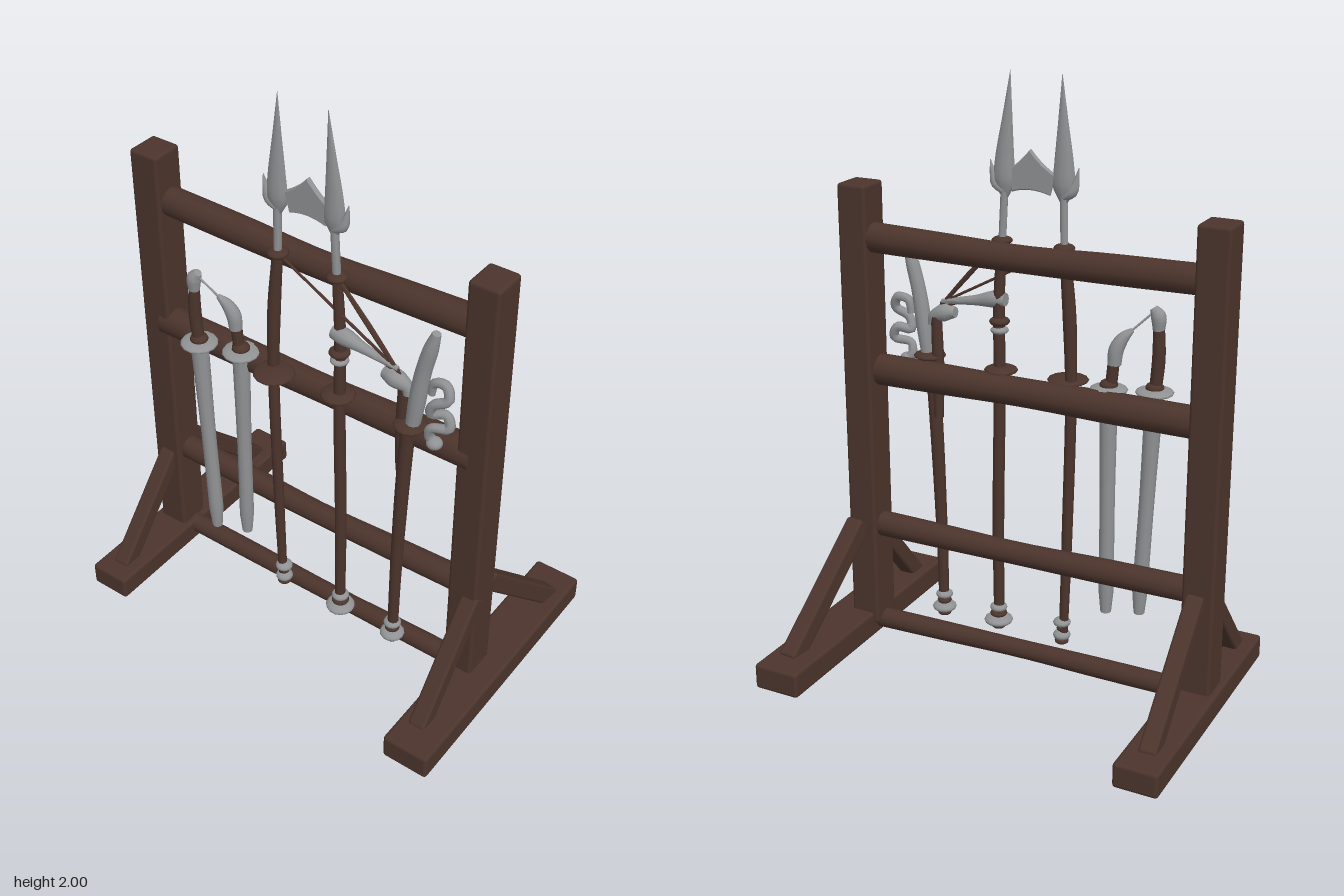
import * as THREE from 'three';
import { mergeVertices, toCreasedNormals } from 'three/addons/utils/BufferGeometryUtils.js';
import { RoundedBoxGeometry } from 'three/addons/geometries/RoundedBoxGeometry.js';

const V = (x, y, z) => new THREE.Vector3(x, y, z);

export function createModel() {
  const root = new THREE.Group();
  const wood = new THREE.MeshStandardMaterial({ name: 'dark wood', color: 0x4b342c });
  const steel = new THREE.MeshStandardMaterial({ name: 'grey steel', color: 0x909294 });

  const add = (name, geo, mat, parent = root) => {
    const m = new THREE.Mesh(geo, mat);
    m.name = name;
    parent.add(m);
    return m;
  };
  const group = (name) => {
    const g = new THREE.Group();
    g.name = name;
    root.add(g);
    return g;
  };

  // Capped round bar through points [x, y, z, radius]
  function limb(name, pts, mat, parent, seg = 16, sides = 10) {
    const path = new THREE.CatmullRomCurve3(pts.map((p) => V(p[0], p[1], p[2])));
    const radii = new THREE.CatmullRomCurve3(pts.map((p, i) => V(p[3], i, 0)));
    let geo = new THREE.TubeGeometry(path, seg, 1, sides);
    const pos = geo.attributes.position, v = V(0, 0, 0);
    for (let i = 0; i <= seg; i++) {
      const c = path.getPointAt(i / seg);
      // second ring from each end sits on the end itself, so the cap is flat
      const k = i === 1 ? 0 : i === seg - 1 ? 1 : i / seg;
      const target = path.getPointAt(k);
      const r = i === 0 || i === seg ? 0 : Math.max(0.0005, radii.getPoint(path.getUtoTmapping(k)).x);
      for (let j = 0; j <= sides; j++) {
        const n = i * (sides + 1) + j;
        v.fromBufferAttribute(pos, n).sub(c).multiplyScalar(r).add(target);
        pos.setXYZ(n, v.x, v.y, v.z);
      }
    }
    geo.deleteAttribute('uv');
    geo.deleteAttribute('normal');
    geo = toCreasedNormals(mergeVertices(geo, 1e-5), 0.9);
    return add(name, geo, mat, parent);
  }

  // Flattened ball
  function knob(name, x, y, z, r, h, mat, parent) {
    const m = add(name, new THREE.SphereGeometry(r, 14, 10), mat, parent);
    m.scale.y = h / r;
    m.position.set(x, y, z);
    return m;
  }

  function block(name, x0, x1, y0, y1, z0, z1, parent, r = 0.012) {
    const m = add(name, new RoundedBoxGeometry(x1 - x0, y1 - y0, z1 - z0, 2, r), wood, parent);
    m.position.set((x0 + x1) / 2, (y0 + y1) / 2, (z0 + z1) / 2);
  }

  function brace(name, a, b, w, parent) {
    const m = add(name, new RoundedBoxGeometry(w, w, a.distanceTo(b), 2, 0.01), wood, parent);
    m.position.copy(a).add(b).multiplyScalar(0.5);
    m.lookAt(b);
  }

  // Frame: posts, feet, braces
  const frame = group('frame');
  block('rightPost', -0.7, -0.592, 0.05, 1.62, 0.0, 0.115, frame);
  block('leftPost', 0.53, 0.635, 0.05, 1.62, -0.008, 0.11, frame);
  block('rightFoot', -0.72, -0.572, 0.005, 0.09, -0.48, 0.465, frame);
  block('leftFoot', 0.548, 0.713, 0, 0.09, -0.49, 0.49, frame);
  brace('rightFrontBrace', V(-0.645, 0.42, 0.08), V(-0.645, 0.07, 0.385), 0.06, frame);
  brace('rightBackBrace', V(-0.645, 0.43, 0.0), V(-0.645, 0.07, -0.37), 0.06, frame);
  brace('leftFrontBrace', V(0.61, 0.42, 0.08), V(0.61, 0.07, 0.375), 0.06, frame);
  brace('leftBackBrace', V(0.6, 0.43, 0.0), V(0.645, 0.07, -0.38), 0.065, frame);

  // Slightly worn cross rails: [name, y at right / middle / left, radius, z]
  for (const [name, y0, y1, y2, r, z] of [
    ['topRail', 1.442, 1.43, 1.442, 0.049, 0.055],
    ['middleRail', 0.982, 0.982, 0.982, 0.052, 0.075],
    ['lowerRail', 0.425, 0.415, 0.422, 0.042, 0.055],
    ['bottomRail', 0.062, 0.058, 0.052, 0.034, 0.055],
  ]) {
    limb(name, [[-0.63, y0, z, r], [-0.3, (y0 + y1) / 2, z, r], [0, y1, z, r * 0.92],
      [0.3, (y1 + y2) / 2, z - 0.005, r], [0.57, y2, z - 0.01, r * 1.04]], wood, frame, 16, 12);
  }

  // Two sheathed swords
  function sword(name, x0, x1, z) {
    const g = group(name);
    limb('scabbard', [[x0, 0.24, z, 0.018], [x0, 0.28, z, 0.025], [(x0 + x1) / 2, 0.65, z, 0.025],
      [x1, 1.02, z, 0.03]], steel, g, 20);
    knob('guard', x1, 1.025, z, 0.062, 0.014, steel, g);
    knob('guardCollar', x1, 1.04, z, 0.03, 0.02, wood, g);
    return g;
  }
  const outer = sword('outerSword', -0.388, -0.418, 0.16);
  limb('grip', [[-0.42, 1.03, 0.16, 0.02], [-0.428, 1.14, 0.16, 0.021], [-0.425, 1.25, 0.16, 0.018]], wood, outer);
  limb('pommel', [[-0.425, 1.23, 0.16, 0.019], [-0.422, 1.275, 0.16, 0.024], [-0.405, 1.3, 0.16, 0.013]], steel, outer);
  limb('cord', [[-0.405, 1.285, 0.16, 0.004], [-0.33, 1.21, 0.135, 0.004]], steel, outer, 6, 6);
  const inner = sword('innerSword', -0.285, -0.278, 0.12);
  limb('grip', [[-0.285, 1.03, 0.12, 0.019], [-0.295, 1.14, 0.12, 0.019]], wood, inner, 8);
  limb('hookedPommel', [[-0.295, 1.11, 0.12, 0.022], [-0.3, 1.16, 0.122, 0.024], [-0.32, 1.2, 0.13, 0.019],
    [-0.345, 1.225, 0.14, 0.008]], steel, inner, 12);

  // Long shafts with stacked butt ends
  function shaft(name, pts, x, wide) {
    const g = group(name);
    const z = 0.12;
    limb('shaft', pts.map(([a, b, r]) => [a, b, z, r]), wood, g, 28);
    knob('buttFoot', x, 0.09, z, 0.024, 0.012, wood, g);
    knob('buttLower', x, 0.112, z, wide, 0.018, steel, g);
    knob('buttRing', x, 0.137, z, wide * 0.6, 0.012, wood, g);
    knob('buttUpper', x, 0.16, z, 0.03, 0.016, steel, g);
    return g;
  }

  // Spear heads with one outward barb
  function head(g, x0, x1, side) {
    const z = 0.12, xb = x0 + (x1 - x0) * 0.32;
    knob('neckRing', x0, 1.465, z, 0.034, 0.014, wood, g);
    limb('neck', [[x0, 1.45, z, 0.013], [xb, 1.64, z, 0.013]], steel, g, 8, 8);
    const blade = limb('spearBlade', [[xb, 1.605, 0, 0.012], [xb, 1.65, 0, 0.037], [xb, 1.72, 0, 0.034],
      [(xb + x1) / 2, 1.86, 0, 0.017], [x1, 2, 0, 0.0005]], steel, g, 20, 8);
    blade.scale.z = 0.5;
    blade.position.z = z;
    limb('barb', [[xb, 1.625, z, 0.014], [xb + side * 0.03, 1.645, z, 0.017],
      [xb + side * 0.042, 1.68, z, 0.01], [xb + side * 0.05, 1.72, z, 0.001]], steel, g, 10, 8);
  }
  const spearA = shaft('rightSpear', [[-0.13, 0.09, 0.015], [-0.14, 0.5, 0.018], [-0.147, 1.0, 0.019],
    [-0.138, 1.25, 0.022], [-0.118, 1.47, 0.017]], -0.125, 0.03);
  head(spearA, -0.118, -0.105, -1);
  knob('guard', -0.125, 1.025, 0.145, 0.068, 0.012, wood, spearA);
  const spearB = shaft('middleSpear', [[0.115, 0.09, 0.018], [0.117, 0.5, 0.02], [0.11, 1.0, 0.02],
    [0.112, 1.25, 0.019], [0.1, 1.47, 0.016]], 0.117, 0.05);
  head(spearB, 0.1, 0.07, 1);
  knob('guard', 0.105, 1.03, 0.12, 0.056, 0.014, wood, spearB);
  knob('collar', 0.11, 1.165, 0.12, 0.03, 0.014, steel, spearB);
  knob('collarRing', 0.11, 1.195, 0.12, 0.034, 0.016, wood, spearB);
  limb('sideHorn', [[0.09, 1.268, 0.125, 0.022], [0.13, 1.265, 0.125, 0.028], [0.2, 1.252, 0.125, 0.017],
    [0.325, 1.232, 0.125, 0.008]], steel, spearB, 14);

  // Flared plate between the spear heads
  const s = new THREE.Shape();
  s.moveTo(0, 1.757);
  s.quadraticCurveTo(0.035, 1.715, 0.075, 1.69);
  s.lineTo(0.06, 1.63);
  s.quadraticCurveTo(0, 1.65, -0.065, 1.63);
  s.lineTo(-0.08, 1.69);
  s.quadraticCurveTo(-0.035, 1.715, 0, 1.757);
  const plate = new THREE.ExtrudeGeometry(s, { depth: 0.008, bevelSize: 0.004, bevelThickness: 0.005, bevelSegments: 1 });
  add('forkPlate', plate, steel).position.z = 0.116;

  // Curved staff with scabbard, guard and horn
  const staff = shaft('leftStaff', [[0.333, 0.09, 0.018], [0.338, 0.4, 0.02], [0.35, 0.75, 0.023],
    [0.365, 1.04, 0.024]], 0.332, 0.042);
  knob('guard', 0.372, 1.04, 0.12, 0.054, 0.014, wood, staff);
  limb('shortScabbard', [[0.333, 0.83, 0.105, 0.016], [0.335, 1.0, 0.11, 0.02], [0.342, 1.18, 0.115, 0.018]], wood, staff, 10);
  limb('scabbardCap', [[0.275, 1.2, 0.125, 0.018], [0.315, 1.195, 0.125, 0.03], [0.355, 1.175, 0.12, 0.02],
    [0.36, 1.15, 0.12, 0.016]], steel, staff, 12);
  limb('horn', [[0.38, 1.045, 0.12, 0.023], [0.392, 1.14, 0.12, 0.027], [0.41, 1.26, 0.12, 0.025],
    [0.432, 1.35, 0.12, 0.023], [0.448, 1.41, 0.12, 0.014]], steel, staff, 18);

  // Coiled ornament hanging beside the horn
  limb('coil', [[0.435, 1.18, 0.11, 0.012], [0.445, 1.225, 0.11, 0.015], [0.485, 1.23, 0.11, 0.016],
    [0.5, 1.19, 0.12, 0.016], [0.455, 1.16, 0.13, 0.016], [0.445, 1.12, 0.125, 0.016], [0.49, 1.125, 0.11, 0.016],
    [0.505, 1.085, 0.115, 0.016], [0.45, 1.07, 0.13, 0.015], [0.445, 1.03, 0.125, 0.016], [0.475, 1.01, 0.12, 0.017]],
  steel, staff, 60, 8);
  knob('coilEnd', 0.462, 1.015, 0.125, 0.026, 0.02, steel, staff);

  // Cords tied between the shafts
  const cords = group('cords');
  limb('longCord', [[-0.1, 1.46, 0.125, 0.004], [0.1, 1.35, 0.125, 0.005], [0.33, 1.225, 0.125, 0.005]], wood, cords, 10, 6);
  limb('shortCord', [[0.11, 1.46, 0.125, 0.006], [0.22, 1.34, 0.125, 0.009], [0.335, 1.21, 0.125, 0.006]], wood, cords, 10, 6);
  limb('lowCord', [[0.13, 1.28, 0.125, 0.004], [0.32, 1.215, 0.125, 0.004]], wood, cords, 6, 6);

  return root;
}
